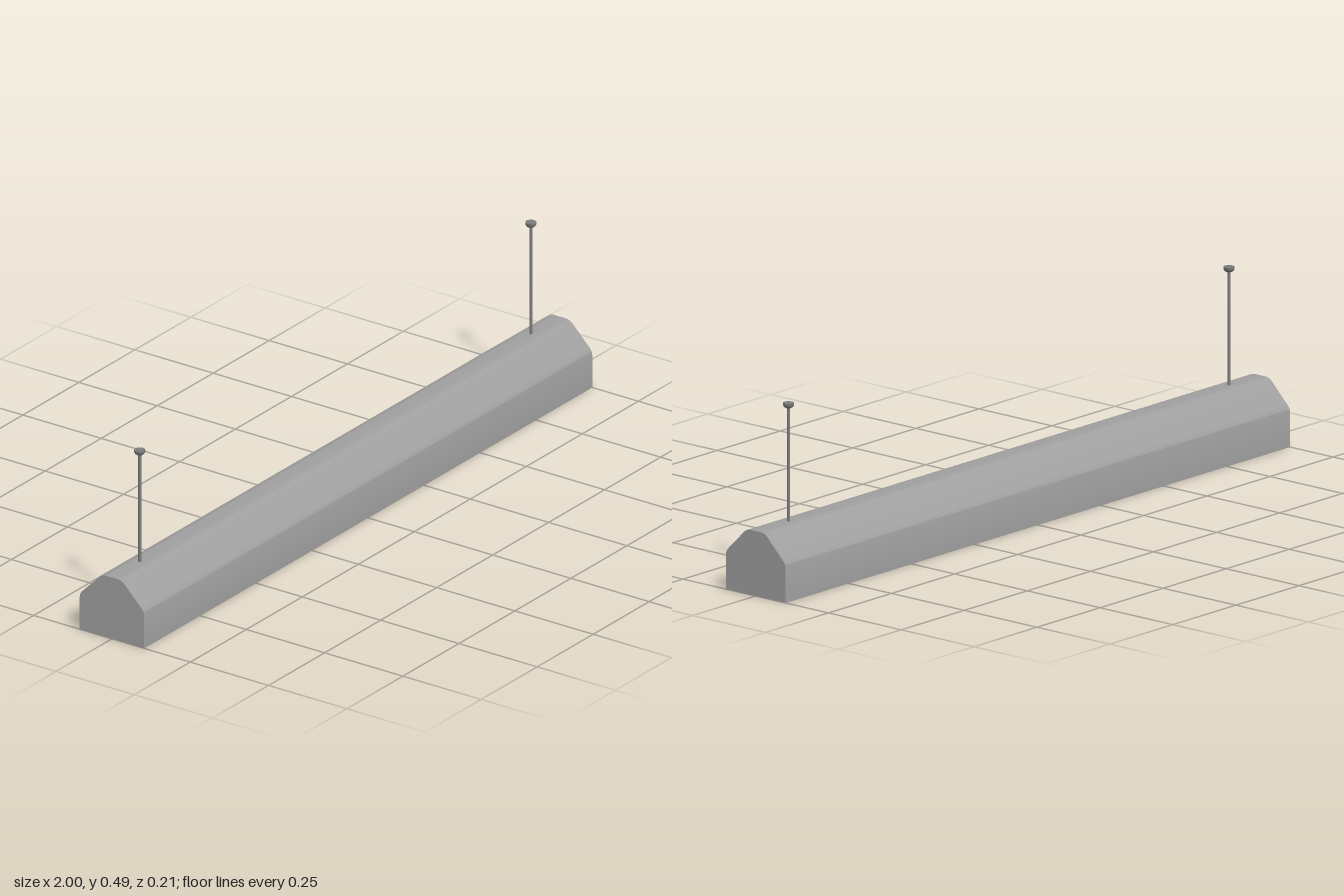
import * as THREE from 'three';
import { toCreasedNormals } from 'three/addons/utils/BufferGeometryUtils.js';

const painted = new THREE.MeshStandardMaterial({ color: 0x9f9f9f });
const darkMetal = new THREE.MeshStandardMaterial({ color: 0x7c7c7c });

function add(parent, name, geometry, material, x = 0, y = 0, z = 0) {
  const mesh = new THREE.Mesh(geometry, material);
  mesh.name = name;
  mesh.position.set(x, y, z);
  parent.add(mesh);
}

// Gabled section with rounded shoulders, as points from one foot to the other; t insets it
function gable(t) {
  const w = 0.103 - t, top = 0.175 - t, d = 0.206 - Math.SQRT2 * t;
  const r = 0.013, s = r * Math.SQRT1_2;
  const p = new THREE.Path();
  p.moveTo(w, 0);
  p.lineTo(w, d - w - r);
  p.quadraticCurveTo(w, d - w, w - s, d - w + s);
  p.lineTo(d - top + s, top - s);
  p.quadraticCurveTo(d - top, top, d - top - r, top);
  const half = p.getPoints(8);
  const mirrored = half.map((v) => new THREE.Vector2(-v.x, v.y)).reverse();
  return [...half, ...mirrored];
}

// Section extruded along x and centred
function extrudeX(points, length) {
  const g = new THREE.ExtrudeGeometry(new THREE.Shape(points), { depth: length, bevelEnabled: false });
  g.translate(0, 0, -length / 2);
  g.rotateY(Math.PI / 2);
  return toCreasedNormals(g, 0.5);
}

export function createModel() {
  const group = new THREE.Group();
  group.name = 'pendantLamp';
  const wall = 0.006;

  // Hollow housing, open underneath, closed by end plates
  add(group, 'housing', extrudeX([...gable(0), ...gable(wall).reverse()], 2 - 2 * wall), painted);
  const plate = extrudeX(gable(0), wall);
  for (const s of [-1, 1]) add(group, 'endPlate', plate, painted, s * (1 - wall / 2));

  // Cross slats of the louvre
  const slat = new THREE.BoxGeometry(0.006, 0.021, 0.196);
  const count = 18, pitch = 0.1094;
  for (let i = 0; i < count; i++) {
    add(group, 'louvreSlat', slat, painted, (i - (count - 1) / 2) * pitch, 0.0145);
  }

  // Light tube in two holders hung from the housing top
  const tubeY = 0.06;
  const tube = new THREE.CylinderGeometry(0.018, 0.018, 1.86, 24).rotateZ(Math.PI / 2);
  add(group, 'lightTube', tube, painted, 0, tubeY);
  const holder = new THREE.CylinderGeometry(0.02, 0.02, 0.025, 24).rotateZ(Math.PI / 2);
  const stem = new THREE.BoxGeometry(0.015, 0.11, 0.02);
  for (const s of [-1, 1]) {
    add(group, 'tubeHolder', holder, painted, s * 0.94, tubeY);
    add(group, 'holderStem', stem, painted, s * 0.94, tubeY + 0.056);
  }

  // Suspension rods with ceiling cups
  const rod = new THREE.CylinderGeometry(0.0042, 0.0042, 0.313, 16);
  const cup = toCreasedNormals(new THREE.LatheGeometry([
    [0, 0], [0.0065, 0], [0.0105, 0.002], [0.0135, 0.0055], [0.0145, 0.009], [0.0145, 0.014], [0, 0.014],
  ].map(([x, y]) => new THREE.Vector2(x, y)), 24), 0.7);
  for (const x of [-0.876, 0.87]) {
    add(group, 'suspensionRod', rod, darkMetal, x, 0.3285);
    add(group, 'ceilingCup', cup, darkMetal, x, 0.48);
  }
  return group;
}
